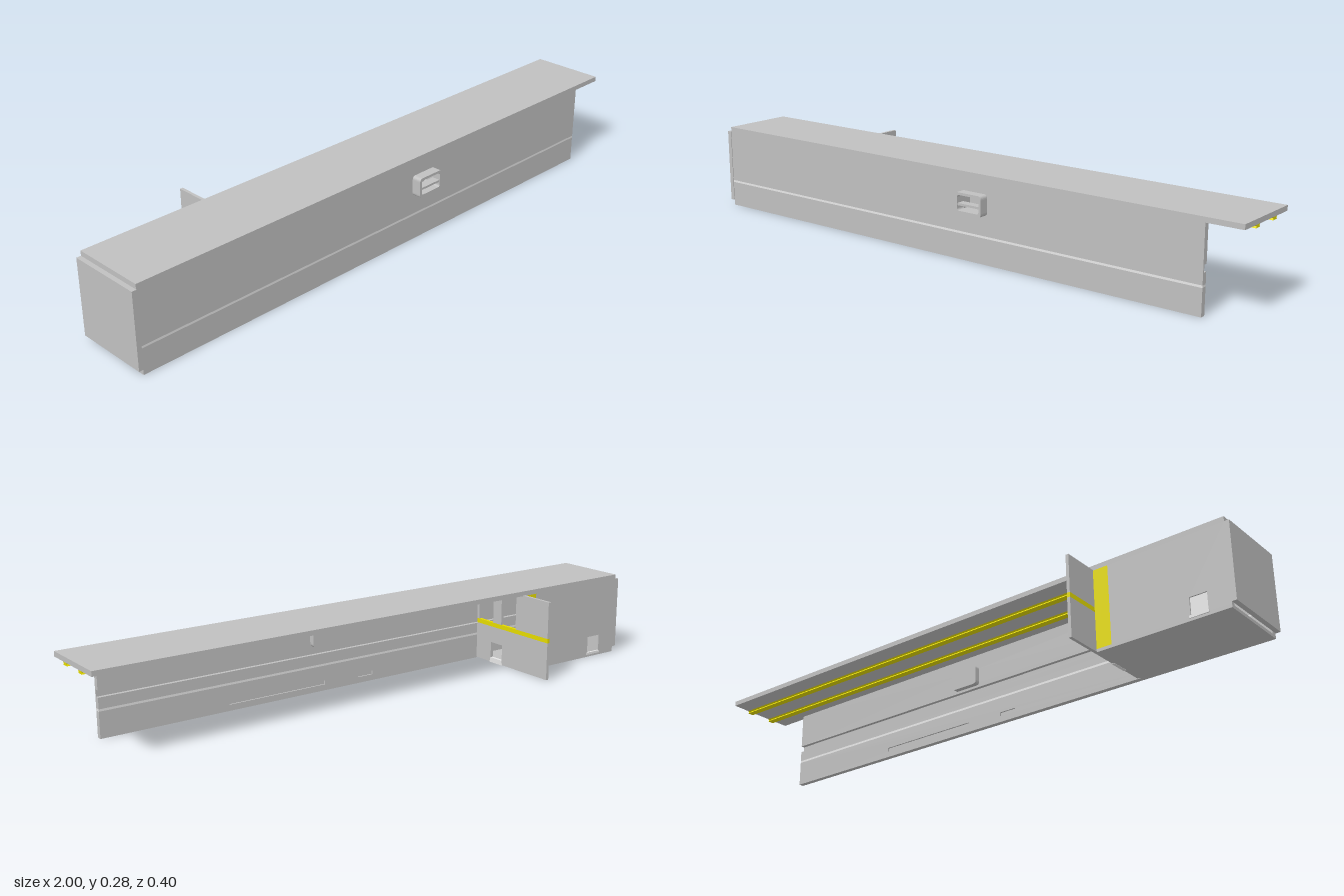
import * as THREE from 'three';

const mat = (name, color, opts = {}) => {
  const m = new THREE.MeshStandardMaterial({ color, ...opts });
  m.name = name;
  return m;
};

// Rectangle outline from two corners
function rect(Type, x0, y0, x1, y1) {
  const s = new Type();
  s.moveTo(x0, y0);
  s.lineTo(x1, y0);
  s.lineTo(x1, y1);
  s.lineTo(x0, y1);
  s.closePath();
  return s;
}

function roundRect(Type, x0, y0, x1, y1, r) {
  const s = new Type();
  s.moveTo(x0 + r, y0);
  s.lineTo(x1 - r, y0);
  s.quadraticCurveTo(x1, y0, x1, y0 + r);
  s.lineTo(x1, y1 - r);
  s.quadraticCurveTo(x1, y1, x1 - r, y1);
  s.lineTo(x0 + r, y1);
  s.quadraticCurveTo(x0, y1, x0, y1 - r);
  s.lineTo(x0, y0 + r);
  s.quadraticCurveTo(x0, y0, x0 + r, y0);
  return s;
}

export function createModel() {
  const grey = mat('body grey', 0xc0c0c0);
  const yellow = mat('yellow', 0xe6dc00);
  const light = mat('light grey', 0xf0f0f0);
  const model = new THREE.Group();
  model.name = 'channelSection';

  const add = (name, geo, m) => {
    const mesh = new THREE.Mesh(geo, m);
    mesh.name = name;
    model.add(mesh);
    return mesh;
  };
  // Box from its minimum and maximum corners
  const box = (name, m, x0, x1, y0, y1, z0, z1) => {
    const g = new THREE.BoxGeometry(x1 - x0, y1 - y0, z1 - z0);
    g.translate((x0 + x1) / 2, (y0 + y1) / 2, (z0 + z1) / 2);
    return add(name, g, m);
  };
  // Shape in x,y pushed along z
  const slabZ = (name, m, shape, z0, z1) => {
    const g = new THREE.ExtrudeGeometry(shape, { depth: z1 - z0, bevelEnabled: false, curveSegments: 6 });
    g.translate(0, 0, z0);
    return add(name, g, m);
  };
  // Shape in -z,y pushed along x
  const slabX = (name, m, points, x0, x1) => {
    const shape = new THREE.Shape(points.map(([z, y]) => new THREE.Vector2(-z, y)));
    const g = new THREE.ExtrudeGeometry(shape, { depth: x1 - x0, bevelEnabled: false });
    g.rotateY(Math.PI / 2);
    g.translate(x0, 0, 0);
    return add(name, g, m);
  };

  const L = -0.985, R = 0.885, FRONT = 0.168, INNER = 0.151, BACK = -0.077, UNDER = 0.264;
  const FIN0 = -0.555, FIN1 = -0.545;

  // Top plate with overhang at the open end
  box('topPlate', grey, L, 1, UNDER, 0.28, BACK, FRONT);

  // Front panel: slotted lower band, light strip, groove, upper band with a window
  box('lowerPanel', grey, L, R, 0, 0.083, 0.156, FRONT);
  const inner = rect(THREE.Shape, L, 0, R, 0.083);
  for (const [a, b] of [[0.1, 0.455], [-0.09, -0.03]])
    inner.holes.push(rect(THREE.Path, a, 0.02, b, 0.033));
  slabZ('slottedLining', grey, inner, INNER, 0.156);
  box('lightStrip', light, L, R, 0.083, 0.09, INNER, FRONT);
  box('middlePanel', grey, L, R, 0.09, 0.125, INNER, FRONT);
  box('grooveBacking', grey, L, R, 0.125, 0.147, 0.163, FRONT);
  const upper = rect(THREE.Shape, L, 0.147, R, UNDER);
  upper.holes.push(rect(THREE.Path, 0.064, 0.164, 0.146, 0.213));
  slabZ('upperPanel', grey, upper, INNER, FRONT);

  // Handle: hollow hood in front, shallow cup behind
  const hood = roundRect(THREE.Shape, 0.055, 0.155, 0.155, 0.221, 0.012);
  hood.holes.push(roundRect(THREE.Path, 0.064, 0.164, 0.146, 0.213, 0.008));
  slabZ('handleHood', grey, hood, FRONT, 0.199);
  slabZ('handleCup', grey, hood, 0.133, INNER);
  box('handleCupBack', grey, 0.06, 0.15, 0.16, 0.217, 0.133, 0.138);
  box('handleBar', grey, 0.064, 0.146, 0.18, 0.187, 0.17, 0.197);

  // Yellow rails under the top plate
  for (const z of [0.095, -0.003])
    slabX('rail', yellow, [
      [z + 0.012, UNDER], [z + 0.008, 0.26], [z + 0.011, 0.255],
      [z - 0.011, 0.255], [z - 0.008, 0.26], [z - 0.012, UNDER],
    ], L, 1);

  // Closed box at the right end
  box('floor', grey, L, FIN0, 0, 0.01, BACK, INNER);
  const wall = rect(THREE.Shape, L, 0.01, -0.605, UNDER);
  wall.holes.push(rect(THREE.Path, -0.915, 0.012, -0.86, 0.072));
  slabZ('backWall', grey, wall, BACK, BACK + 0.012);
  box('backWallStripe', yellow, -0.605, FIN0, 0.01, UNDER, BACK, BACK + 0.012);
  box('hatchPanel', light, -0.915, -0.86, 0.012, 0.072, BACK + 0.004, BACK + 0.01);
  box('hatchSill', light, -0.918, -0.857, 0.008, 0.016, BACK - 0.003, BACK + 0.004);
  box('endCap', grey, -1, L, 0.018, UNDER, BACK, 0.17);

  // Cross plate: lower part with a doorway, yellow band, three upright posts
  slabX('crossPlateLower', grey, [
    [INNER, 0.002], [0.077, 0.002], [0.077, 0.072], [0.02, 0.072],
    [0.02, 0.002], [-0.2, 0.002], [-0.2, 0.128], [INNER, 0.128],
  ], FIN0, FIN1);
  box('crossPlateBand', yellow, FIN0, FIN1, 0.128, 0.143, -0.2, INNER);
  for (const [z0, z1] of [[0.14, INNER], [0.027, 0.068], [-0.2, -0.045]])
    box('crossPlatePost', grey, FIN0, FIN1, 0.143, UNDER + 0.002 * (z0 < -0.1 ? 1 : 0), z0, z1);
  slabX('doorwaySill', light, [
    [0.08, 0.001], [0.076, 0.018], [0.021, 0.018], [0.017, 0.001],
  ], FIN0 + 0.002, FIN1 + 0.002);

  return model;
}
